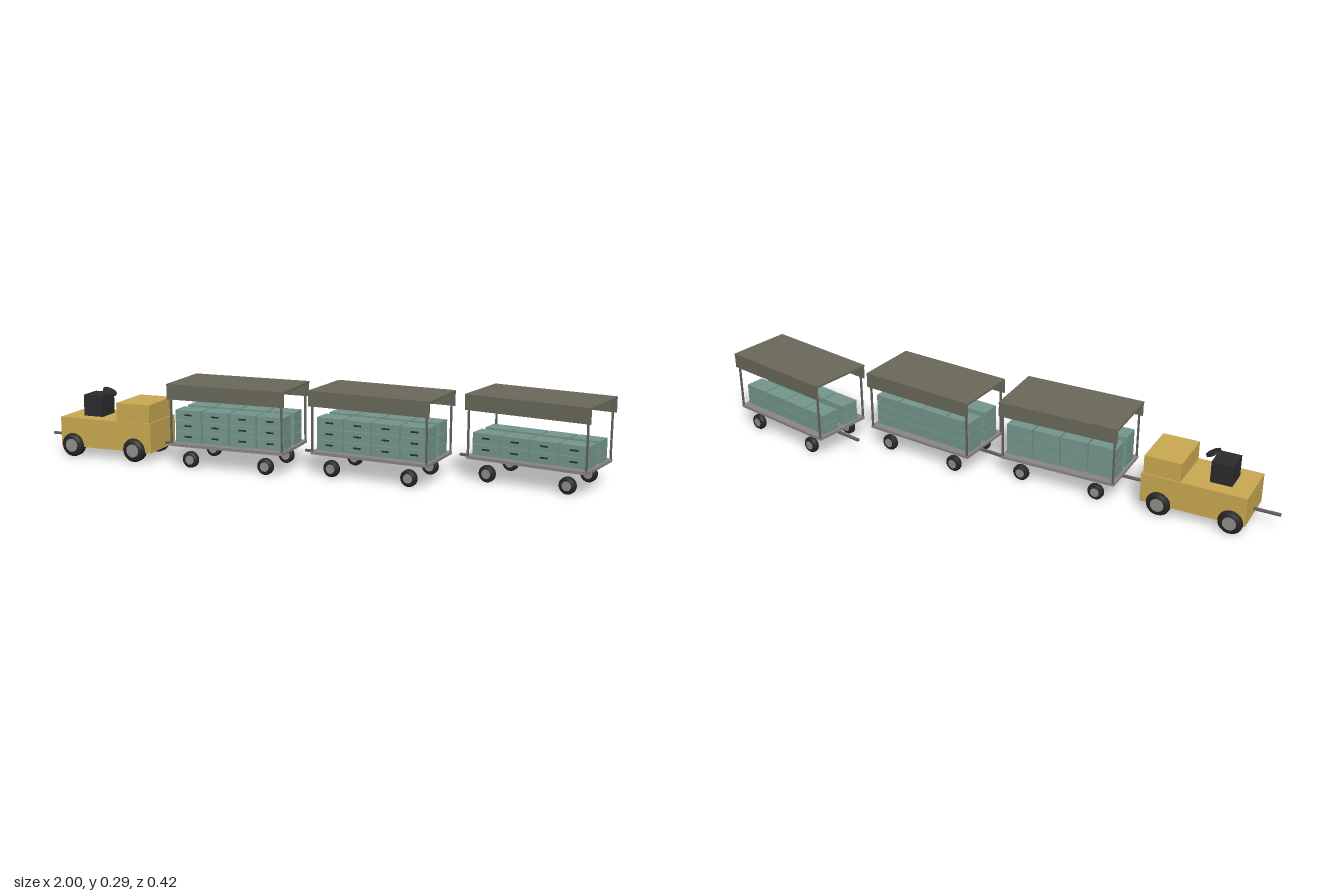
import * as THREE from 'three';

const mat = (name, color) => {
  const m = new THREE.MeshStandardMaterial({ color });
  m.name = name;
  return m;
};

export function createModel() {
  const yellow = mat('yellow paint', 0xc9a850);
  const canopy = mat('olive canopy', 0x69685a);
  const crateTeal = mat('teal crate', 0x74968c);
  const deckGrey = mat('deck grey', 0x8a8583);
  const postGrey = mat('post grey', 0x646260);
  const tyreBlack = mat('tyre black', 0x262626);
  const seatBlack = mat('seat black', 0x2b2b2d);
  const hubGrey = mat('hub grey', 0x8e8e8a);

  // Box given by its lower and upper corners
  const box = (parent, name, material, a, b) => {
    const mesh = new THREE.Mesh(new THREE.BoxGeometry(b[0] - a[0], b[1] - a[1], b[2] - a[2]), material);
    mesh.position.set((a[0] + b[0]) / 2, (a[1] + b[1]) / 2, (a[2] + b[2]) / 2);
    mesh.name = name;
    parent.add(mesh);
    return mesh;
  };

  // Bevelled tyre with a hub running through it, axle along z
  const wheel = (parent, x, z, r, w) => {
    const g = new THREE.Group();
    g.name = 'wheel';
    const h = w / 2;
    const profile = [[r * 0.5, -h], [r * 0.85, -h], [r, -h * 0.5], [r, h * 0.5], [r * 0.85, h], [r * 0.5, h]]
      .map(p => new THREE.Vector2(...p));
    const tyreGeo = new THREE.LatheGeometry(profile, 24);
    const tyre = new THREE.Mesh(tyreGeo, tyreBlack);
    tyre.name = 'tyre';
    const hub = new THREE.Mesh(new THREE.CylinderGeometry(r * 0.56, r * 0.56, w + 0.002, 20), hubGrey);
    hub.name = 'hub';
    g.add(tyre, hub);
    g.rotation.x = Math.PI / 2;
    g.position.set(x, r, z);
    parent.add(g);
  };

  const makeTractor = () => {
    const t = new THREE.Group();
    t.name = 'tractor';
    box(t, 'body', yellow, [-0.91, 0.036, -0.091], [-0.55, 0.14, 0.091]);
    box(t, 'hood', yellow, [-0.685, 0.14, -0.087], [-0.556, 0.205, 0.087]);
    box(t, 'seat', seatBlack, [-0.843, 0.14, -0.042], [-0.768, 0.216, 0.042]);
    box(t, 'towBar', postGrey, [-1, 0.053, -0.005], [-0.9, 0.061, 0.005]);
    const steering = new THREE.Mesh(new THREE.CylinderGeometry(0.026, 0.026, 0.006, 20), seatBlack);
    steering.name = 'steeringWheel';
    steering.position.set(-0.76, 0.226, 0);
    steering.rotation.z = -0.5;
    t.add(steering);
    for (const x of [-0.862, -0.616])
      for (const s of [-1, 1]) wheel(t, x, s * 0.086, 0.042, 0.038);
    return t;
  };

  const makeCart = layers => {
    const c = new THREE.Group();
    c.name = 'cart';
    box(c, 'deck', deckGrey, [-0.21, 0.074, -0.11], [0.21, 0.084, 0.11]);
    box(c, 'towBar', postGrey, [-0.287, 0.053, -0.005], [-0.185, 0.061, 0.005]);
    box(c, 'roof', canopy, [-0.217, 0.284, -0.116], [0.217, 0.291, 0.116]);
    for (const s of [-1, 1]) {
      // hanging side flaps of the canopy
      const z = s * 0.1135;
      box(c, 'roofFlap', canopy, [-0.216, 0.238, z - 0.002], [0.216, 0.285, z + 0.002]);
      for (const e of [-1, 1]) {
        const x = e * 0.205, pz = s * 0.107;
        box(c, 'post', postGrey, [x - 0.003, 0.083, pz - 0.003], [x + 0.003, 0.286, pz + 0.003]);
        wheel(c, e * 0.14, s * 0.092, 0.0285, 0.023);
      }
    }
    // two rows of stacked crates with a dark handle on the front
    for (let k = 0; k < layers; k++)
      for (const z of [-0.048, 0.048])
        for (let i = 0; i < 4; i++) {
          const x = (i - 1.5) * 0.102, y = 0.084 + k * 0.038;
          box(c, 'crate', crateTeal, [x - 0.048, y, z - 0.034], [x + 0.048, y + 0.0365, z + 0.034]);
          box(c, 'crateHandle', seatBlack, [x - 0.013, y + 0.018, z + 0.034], [x + 0.013, y + 0.023, z + 0.037]);
        }
    return c;
  };

  const model = new THREE.Group();
  model.name = 'luggageTrain';
  const tractor = makeTractor();
  tractor.position.z = 0.09;
  model.add(tractor);

  // the carts swing gradually round a curve: x, z, turn, crate layers
  const carts = [[-0.254, 0.09, 0, 3], [0.2525, 0.0525, -0.105, 3], [0.761, -0.0525, -0.209, 2]];
  for (const [x, z, turn, layers] of carts) {
    const cart = makeCart(layers);
    cart.position.set(x, 0, z);
    cart.rotation.y = turn;
    model.add(cart);
  }
  return model;
}
